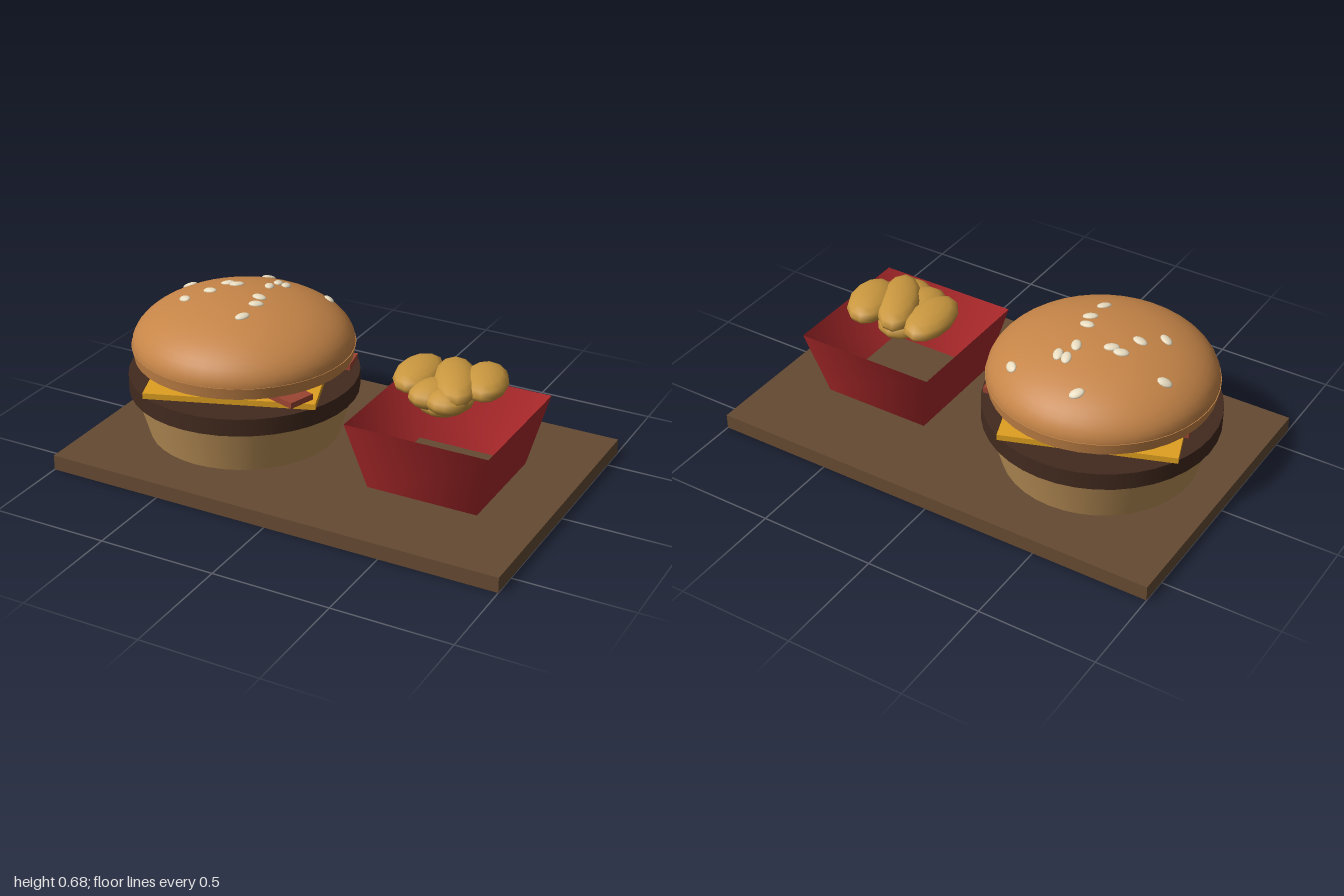
import * as THREE from 'three';

const mat = (color, opts = {}) => new THREE.MeshStandardMaterial({ color, ...opts });

function add(parent, name, geometry, material, x = 0, y = 0, z = 0, turn = 0) {
  const mesh = new THREE.Mesh(geometry, material);
  mesh.name = name;
  mesh.position.set(x, y, z);
  mesh.rotation.y = turn;
  parent.add(mesh);
  return mesh;
}

// Upright cylinder or cone section between two heights
const drum = (rBottom, rTop, y0, y1, sides = 40) =>
  new THREE.CylinderGeometry(rTop, rBottom, y1 - y0, sides).translate(0, (y0 + y1) / 2, 0);

function createBurger() {
  const burger = new THREE.Group();
  burger.name = 'burger';
  burger.position.x = -0.445;
  const bun = mat(0xc68548);

  add(burger, 'bottomBun', drum(0.405, 0.46, 0.065, 0.26), mat(0xc0945a));
  add(burger, 'patty', drum(0.485, 0.485, 0.26, 0.335), mat(0x422a1e));
  add(burger, 'cheeseSlice', new THREE.BoxGeometry(0.708, 0.025, 0.708), mat(0xe0a020), 0, 0.348, 0, 0.35);

  // Two bacon strips that fan out towards +x
  const bacon = mat(0x9a4432);
  for (const [z, turn] of [[0.108, -0.3], [-0.106, 0.2]]) {
    add(burger, 'baconStrip', new THREE.BoxGeometry(0.85, 0.025, 0.12), bacon, 0, 0.373, z, turn);
  }

  // Pickle slices
  const pickle = mat(0x5f8a3c);
  for (const [x, z] of [[-0.075, 0.02], [0.215, 0], [0.06, -0.27]]) {
    add(burger, 'pickleSlice', drum(0.13, 0.13, 0.385, 0.41, 24), pickle, x, 0, z);
  }

  // Top bun: a rim under a flattened dome
  const baseY = 0.46, radius = 0.465, height = 0.21;
  add(burger, 'topBunRim', drum(0.458, 0.468, 0.41, baseY), bun);
  const dome = new THREE.SphereGeometry(1, 40, 14, 0, Math.PI * 2, 0, Math.PI / 2);
  dome.scale(radius, height, radius);
  add(burger, 'topBunDome', dome, bun, 0, baseY, 0);

  // Sesame seeds lying on the dome: x, z, turn
  const seeds = [
    [-0.075, -0.34, 0.9], [0.24, -0.3, -0.7], [0.045, -0.215, -1.2], [0.085, -0.21, -1.2],
    [0.045, -0.14, -1.1], [-0.325, -0.105, 0.3], [-0.125, -0.09, 0.4], [-0.08, -0.085, 0.6],
    [0.075, -0.005, 0], [-0.15, 0.015, -0.1], [0.095, 0.055, 0.5], [-0.22, 0.1, -0.5],
    [0.095, 0.165, 1],
  ];
  const seedGeometry = new THREE.SphereGeometry(1, 12, 8).scale(0.032, 0.011, 0.021);
  const seedMaterial = mat(0xe8dcc0);
  const up = new THREE.Vector3(0, 1, 0);
  for (const [x, z, turn] of seeds) {
    const y = height * Math.sqrt(1 - (x * x + z * z) / radius ** 2);
    const normal = new THREE.Vector3(x / radius ** 2, y / height ** 2, z / radius ** 2).normalize();
    const seed = add(burger, 'sesameSeed', seedGeometry, seedMaterial, x, baseY + y, z);
    seed.quaternion.setFromUnitVectors(up, normal)
      .multiply(new THREE.Quaternion().setFromAxisAngle(up, turn));
  }
  return burger;
}

function createNuggetBox() {
  const side = new THREE.Group();
  side.name = 'nuggetBox';
  side.position.x = 0.5;

  // Open, tapered square box
  const wall = new THREE.CylinderGeometry(0.31 * Math.SQRT2, 0.24 * Math.SQRT2, 0.295, 4, 1, true);
  wall.rotateY(Math.PI / 4);
  add(side, 'box', wall, mat(0xb02a2c, { side: THREE.DoubleSide }), 0, 0.2125, 0);

  // Nuggets: centre, radii, turn
  const nuggets = [
    [-0.16, 0.465, -0.05, 0.095, 0.052, 0.165, 0.1],
    [0.01, 0.475, -0.035, 0.09, 0.055, 0.2, 0.45],
    [0.115, 0.475, -0.085, 0.095, 0.055, 0.155, 0.3],
    [-0.05, 0.445, 0.05, 0.09, 0.055, 0.11, -0.3],
    [0.03, 0.445, 0.09, 0.085, 0.05, 0.085, 0.3],
    [-0.02, 0.405, -0.02, 0.115, 0.06, 0.15, 0],
  ];
  const material = mat(0xc9973f);
  for (const [x, y, z, rx, ry, rz, turn] of nuggets) {
    add(side, 'nugget', new THREE.SphereGeometry(1, 12, 8).scale(rx, ry, rz), material, x, y, z, turn);
  }
  return side;
}

export function createModel() {
  const model = new THREE.Group();
  model.name = 'burgerMeal';
  add(model, 'servingBoard', new THREE.BoxGeometry(2, 0.065, 1.234), mat(0x654a32), 0, 0.0325, 0);
  model.add(createBurger(), createNuggetBox());
  return model;
}
